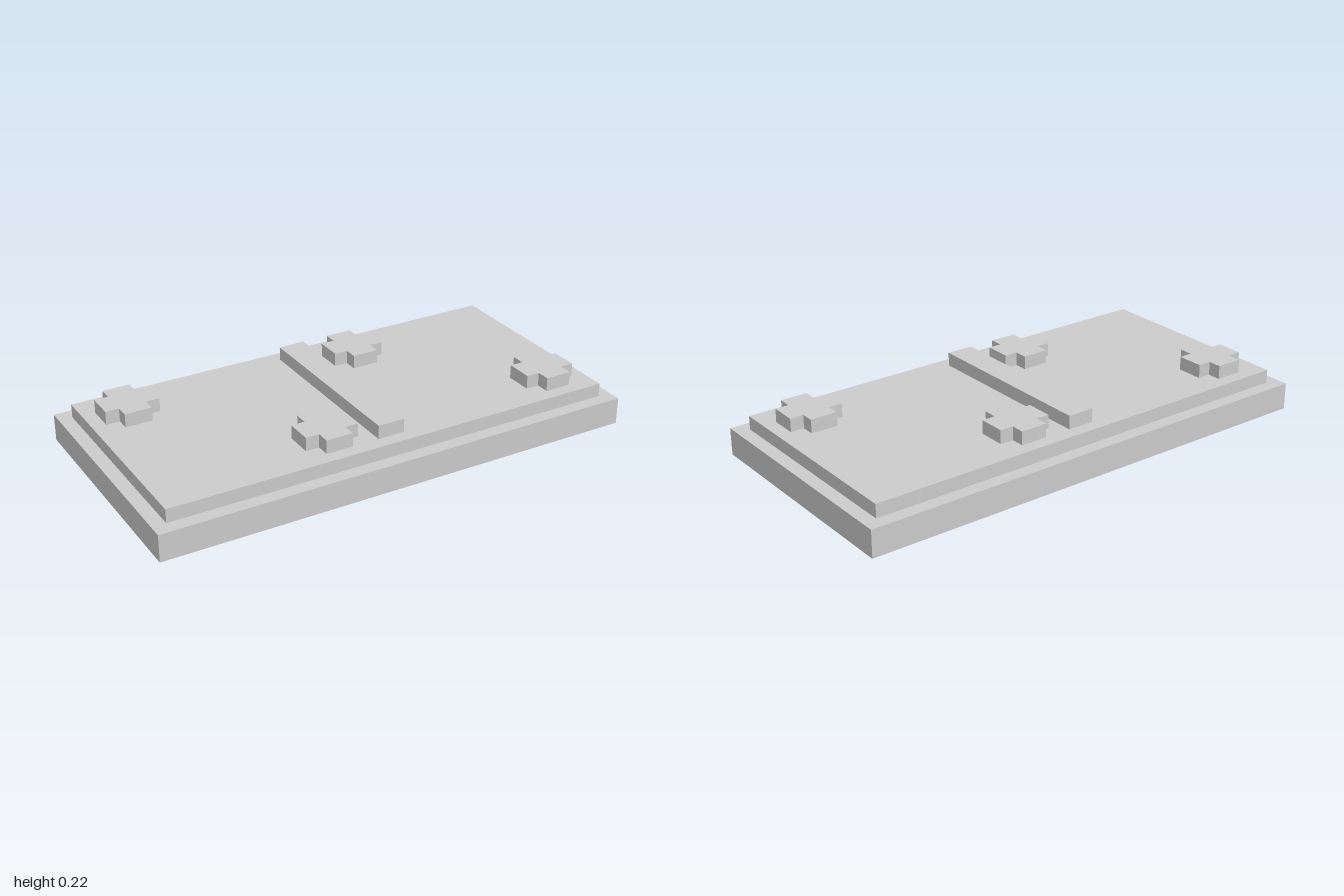
import * as THREE from 'three';

const U = 1 / 18; // module size: every dimension is a multiple of it

export function createModel() {
  const model = new THREE.Group();
  const material = new THREE.MeshStandardMaterial({ color: 0xcccccc, flatShading: true });

  const add = (name, geometry, x, y, z) => {
    const mesh = new THREE.Mesh(geometry, material);
    mesh.name = name;
    mesh.position.set(x * U, y * U, z * U);
    model.add(mesh);
  };
  const slab = (w, h, d) => new THREE.BoxGeometry(w * U, h * U, d * U);

  // Stepped slab and the bar dividing it
  add('base', slab(36, 2, 18), 0, 1, 0);
  add('raisedPlate', slab(34, 1, 16), 0, 2.5, 0);
  add('dividerBar', slab(2, 1, 14), 0, 3.5, 0);

  // Plus-shaped studs, extruded upwards
  const outline = [
    [-1, -2], [1, -2], [1, -1], [2, -1], [2, 1], [1, 1],
    [1, 2], [-1, 2], [-1, 1], [-2, 1], [-2, -1], [-1, -1],
  ];
  const plus = new THREE.Shape(outline.map(([x, y]) => new THREE.Vector2(x * U, y * U)));
  const stud = new THREE.ExtrudeGeometry(plus, { depth: U, bevelEnabled: false });
  stud.rotateX(-Math.PI / 2);

  // Two studs on each half, at opposite corners
  for (const x of [-9, 9]) {
    add('backStud', stud, x - 5, 3, -5);
    add('frontStud', stud, x + 5, 3, 5);
  }

  return model;
}
